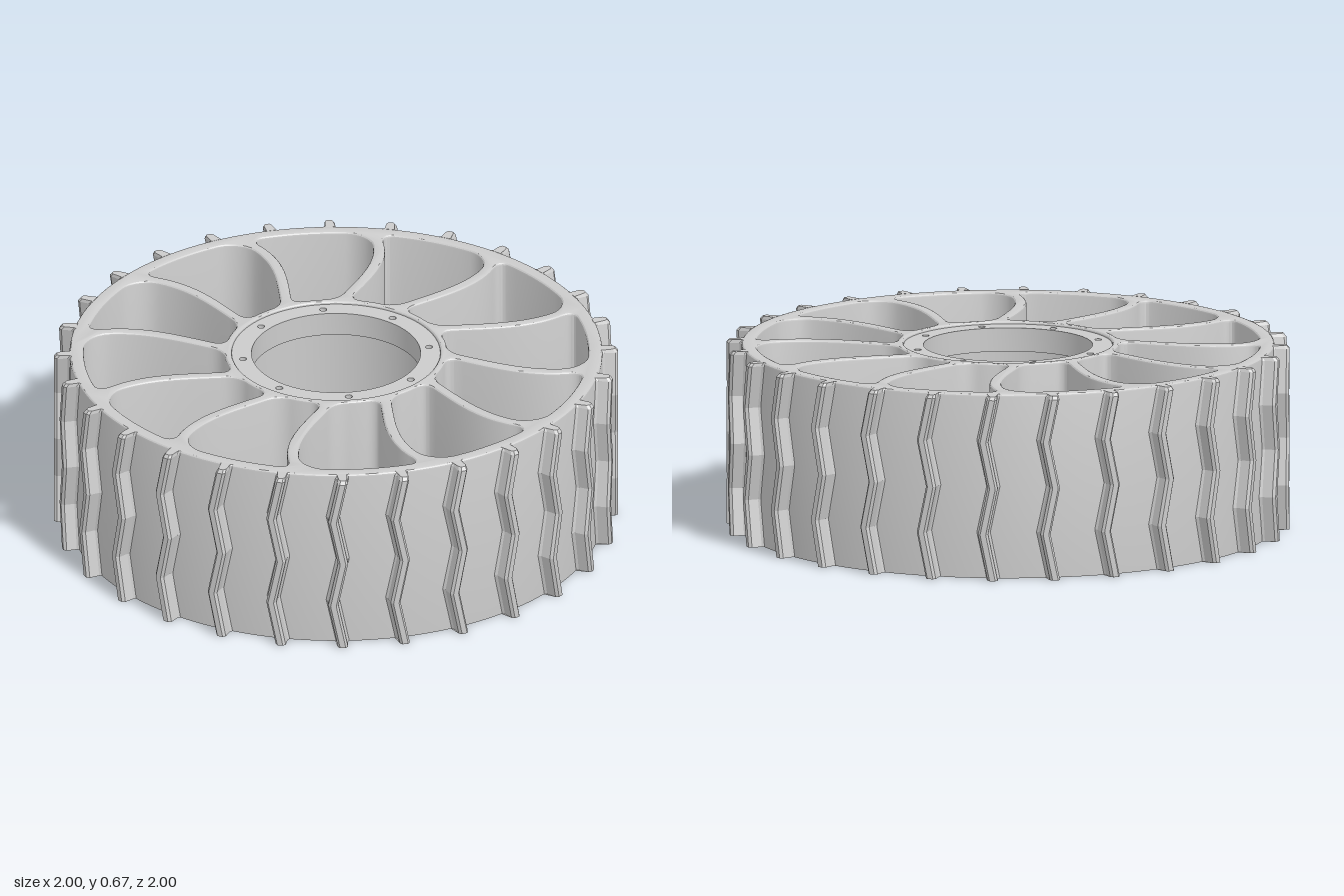
import * as THREE from 'three';
import { toCreasedNormals } from 'three/addons/utils/BufferGeometryUtils.js';

const H = 0.665;              // wheel width along y
const R_IN = 0.395, R_OUT = 0.895; // spoke window limits
const SPOKES = 12, TREADS = 28;
const material = new THREE.MeshStandardMaterial({ color: 0xcccccc });

// Clockwise polar point, angle 0 pointing up in the shape plane
const polar = (r, a) => new THREE.Vector2(r * Math.sin(a), r * Math.cos(a));

function circle(r, n, cx = 0, cy = 0) {
  return Array.from({ length: n }, (_, i) =>
    polar(r, (-i / n) * Math.PI * 2).add(new THREE.Vector2(cx, cy)));
}

// Extrude a flat shape upward from y0
function slab(name, shape, y0, height, bevel) {
  const geo = new THREE.ExtrudeGeometry(shape, {
    depth: height - bevel, bevelEnabled: bevel > 0, bevelThickness: bevel,
    bevelSize: bevel, bevelOffset: -bevel, bevelSegments: 3,
  });
  // Keep the underside flat: only the top edge stays rounded
  const p = geo.attributes.position;
  for (let i = 0; i < p.count; i++) p.setZ(i, Math.max(0, p.getZ(i)));
  geo.rotateX(-Math.PI / 2).translate(0, y0, 0);
  const mesh = new THREE.Mesh(toCreasedNormals(geo, 0.45), material);
  mesh.name = name;
  return mesh;
}

// Centre angle of a curved spoke at radius r
function spokeAngle(r) {
  const t = (r - 0.4) / 0.5;
  return THREE.MathUtils.degToRad(-3 + 25.7 * t - 21.4 * t * t);
}

// Half thickness of a spoke, widened by fillets at hub and rim
function halfWidth(r, outerFillet) {
  const fillet = (f, gap) => gap >= f ? 0 : f - Math.sqrt(f * f - (f - gap) ** 2);
  return 0.021 + fillet(0.045, r - R_IN) + fillet(outerFillet, R_OUT - r);
}

// Opening between two neighbouring spokes
function windowPath(k) {
  const step = (Math.PI * 2) / SPOKES, n = 26, m = 8;
  const radius = i => R_IN + (R_OUT - R_IN) * (1 - Math.cos((Math.PI * i) / n)) / 2;
  const first = r => k * step + spokeAngle(r) + halfWidth(r, 0.05) / r;
  const second = r => (k + 1) * step + spokeAngle(r) - halfWidth(r, 0.08) / r;
  const pts = [];
  for (let i = 0; i <= n; i++) pts.push(polar(radius(i), first(radius(i))));
  for (let i = 1; i < m; i++)
    pts.push(polar(R_OUT, THREE.MathUtils.lerp(first(R_OUT), second(R_OUT), i / m)));
  for (let i = n; i >= 0; i--) pts.push(polar(radius(i), second(radius(i))));
  for (let i = 1; i < m; i++)
    pts.push(polar(R_IN, THREE.MathUtils.lerp(second(R_IN), first(R_IN), i / m)));
  return new THREE.Path(pts);
}

// Plain ring, optionally with bolt holes
function ringShape(outer, inner, bolts = 0) {
  const shape = new THREE.Shape(circle(outer, 96));
  shape.holes.push(new THREE.Path(circle(inner, 96)));
  for (let i = 0; i < bolts; i++) {
    const c = polar(0.333, (i / bolts) * Math.PI * 2);
    shape.holes.push(new THREE.Path(circle(0.013, 12, c.x, c.y)));
  }
  return shape;
}

// Zigzag tread bar lofted along y, lying at the +z side
function treadGeometry() {
  const w = 0.018;
  const section = [[-w - 0.01, 0.938], [-w, 0.953], [-w, 0.99], [-w + 0.008, 1],
    [w - 0.008, 1], [w, 0.99], [w, 0.953], [w + 0.01, 0.938]];
  // Height, sideways shift, inset of the outer corners
  const levels = [[0, 0, 0], [H / 4, -0.034, 0], [H / 2, 0, 0], [H * 0.75, -0.034, 0],
    [H - 0.012, -0.002, 0], [H, 0, 0.01]];
  const pos = [], index = [], n = section.length;
  levels.forEach(([y, shift, inset]) => section.forEach(([x, z]) =>
    pos.push(x * (1 - inset * 20) + shift, y, z > 0.95 ? z - inset : z)));
  for (let l = 0; l < levels.length - 1; l++)
    for (let i = 0; i < n; i++) {
      const j = (i + 1) % n, a = l * n + i, b = l * n + j;
      index.push(a, b, b + n, a, b + n, a + n);
    }
  const top = (levels.length - 1) * n;
  for (let i = 1; i < n - 1; i++)
    index.push(0, i + 1, i, top, top + i, top + i + 1);
  const geo = new THREE.BufferGeometry();
  geo.setAttribute('position', new THREE.Float32BufferAttribute(pos, 3));
  geo.setIndex(index);
  return toCreasedNormals(geo, 0.2);
}

export function createModel() {
  const wheel = new THREE.Group();
  wheel.name = 'wheel';

  // Rim, curved spokes and hub wall in one piece
  const body = new THREE.Shape(circle(0.945, 168));
  body.holes.push(new THREE.Path(circle(0.37, 96)));
  for (let k = 0; k < SPOKES; k++) body.holes.push(windowPath(k));
  wheel.add(slab('rimAndSpokes', body, 0, H, 0.01));

  // Hub: inner sleeve between two bolted flanges, set slightly back
  wheel.add(slab('hubSleeve', ringShape(0.373, 0.35), 0.08, H - 0.16, 0));
  wheel.add(slab('upperFlange', ringShape(0.373, 0.3, 8), H - 0.095, 0.085, 0));
  wheel.add(slab('lowerFlange', ringShape(0.373, 0.3, 8), 0.01, 0.085, 0));

  // Tread bars around the rim
  const treads = new THREE.Group();
  treads.name = 'treads';
  const bar = treadGeometry();
  for (let i = 0; i < TREADS; i++) {
    const mesh = new THREE.Mesh(bar, material);
    mesh.name = 'treadBar';
    mesh.rotation.y = (i / TREADS) * Math.PI * 2;
    treads.add(mesh);
  }
  wheel.add(treads);
  return wheel;
}
